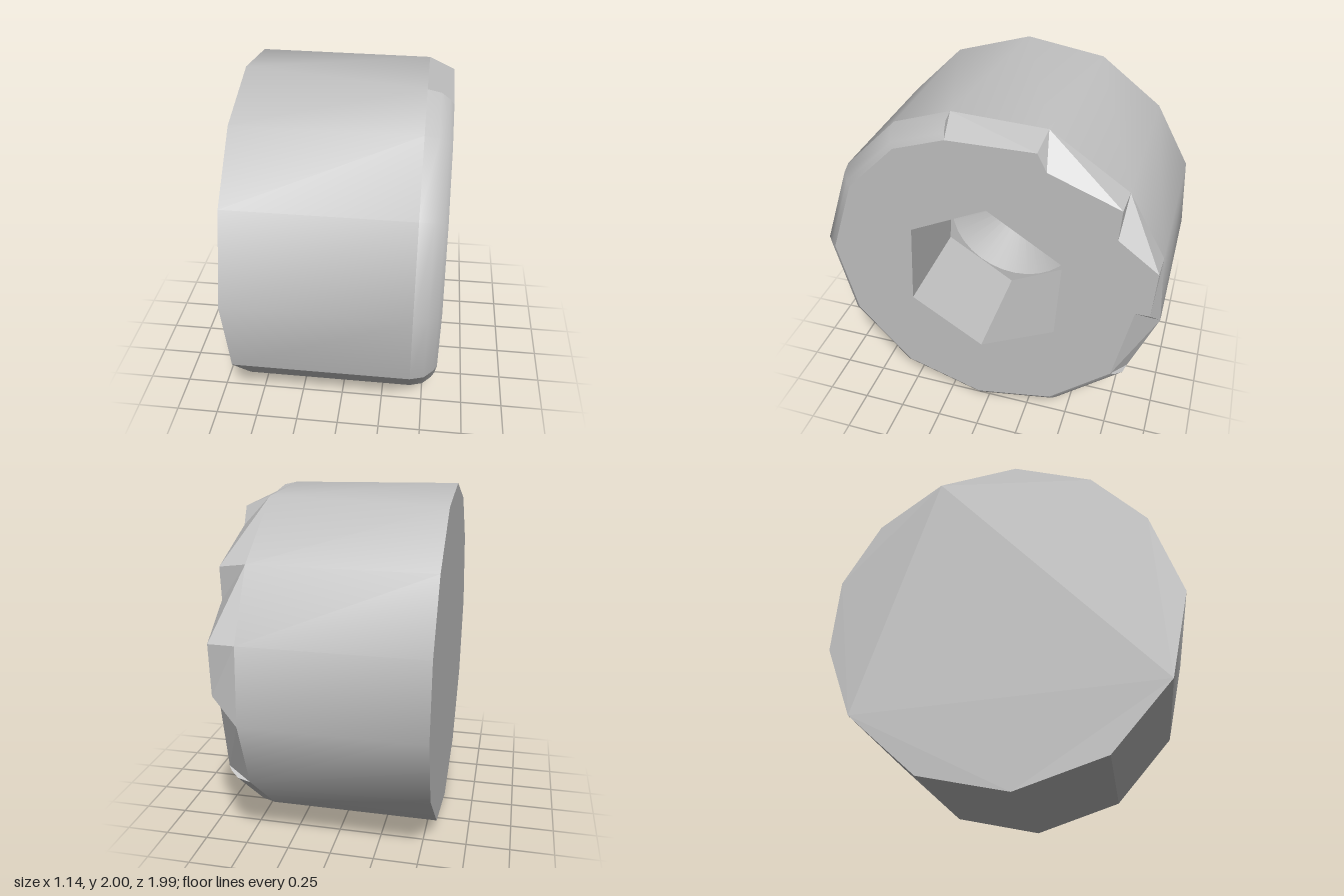
import * as THREE from 'three';

const steel = new THREE.MeshStandardMaterial({ color: 0xc0c0c0, side: THREE.DoubleSide });
steel.name = 'steel grey';

const BACK = -0.57, SHOULDER = 0.425, FRONT = 0.57, FLOOR = -0.05;

// Outlines are [z, y] pairs, starting at the top and running towards +z.
const backRing = [
  [0.07, 2.0], [0.52, 1.86], [0.83, 1.55], [1.0, 1.06], [0.89, 0.56], [0.55, 0.17], [0.05, 0.005],
  [-0.45, 0.11], [-0.84, 0.46], [-0.99, 0.86], [-0.96, 1.29], [-0.75, 1.66], [-0.39, 1.93],
];
const shoulderRing = backRing.map((p) => [...p]);
shoulderRing[0] = [0.2, 1.97];
shoulderRing[12] = [-0.32, 1.95];

const hexagon = [[-0.03, 1.5], [-0.45, 1.23], [-0.42, 0.74], [0.02, 0.51], [0.44, 0.78], [0.41, 1.28]];

// Worn corners of the rim, from the top towards -z: index, tooth point, notch point.
const worn = [
  [12, [-0.30, 1.89], [-0.35, 1.79]],
  [11, [-0.74, 1.64], [-0.73, 1.46]],
  [10, [-0.955, 1.29], [-0.955, 1.29]],
  [9, [-0.94, 1.0], [-0.86, 1.0]],
];

const at = (x, [z, y]) => new THREE.Vector3(x, y, z);
const inset = (ring, s) => ring.map(([z, y]) => [z * s, 1 + (y - 1) * s]);

function add(group, name, geometry) {
  const mesh = new THREE.Mesh(geometry, steel);
  mesh.name = name;
  group.add(mesh);
  return mesh;
}

// Smooth surface through rows of points
function loft(rows) {
  const n = rows[0].length, index = [];
  for (let j = 0; j < rows.length - 1; j++) {
    for (let i = 0; i < n - 1; i++) {
      const a = j * n + i, c = a + n;
      index.push(a, a + 1, c, a + 1, c + 1, c);
    }
  }
  const g = new THREE.BufferGeometry().setFromPoints(rows.flat());
  g.setIndex(index);
  g.computeVertexNormals();
  return g;
}

// Flat triangles from a plain list of corners
function facets(points) {
  const g = new THREE.BufferGeometry().setFromPoints(points);
  g.computeVertexNormals();
  return g;
}

// Flat plate facing +x, or -x when flipped
function plate(outline, x, hole, flip = false) {
  const s = flip ? 1 : -1;
  const shape = new THREE.Shape(outline.map(([z, y]) => new THREE.Vector2(s * z, y)));
  if (hole) shape.holes.push(hole);
  const g = new THREE.ShapeGeometry(shape, 32);
  g.rotateY(flip ? -Math.PI / 2 : Math.PI / 2);
  g.translate(x, 0, 0);
  return g;
}

export function createModel() {
  const group = new THREE.Group();
  group.name = 'socketScrewHead';

  // Side wall: one long smooth run and three flat facets underneath
  const runs = [[7, 8, 9, 10, 11, 12, 0, 1, 2, 3, 4], [4, 5], [5, 6], [6, 7]];
  for (const run of runs) {
    add(group, 'sideWall', loft([
      run.map((i) => at(BACK, backRing[i])),
      run.map((i) => at(SHOULDER, shoulderRing[i])),
    ]));
  }
  add(group, 'backFace', plate(backRing, BACK, null, true));

  // Rounded rim along the intact part of the edge
  const rim = [[SHOULDER, 1], [0.5, 0.982], [0.55, 0.94], [FRONT, 0.91]]
    .map(([x, s]) => inset(shoulderRing, s).map((p) => at(x, p)));
  for (const run of [[0, 1, 2, 3, 4], [4, 5], [5, 6], [6, 7], [7, 8]]) {
    add(group, 'roundedRim', loft(rim.map((row) => run.map((i) => row[i]))));
  }

  // Worn, notched part of the edge
  const tris = [];
  const inner = inset(shoulderRing, 0.91);
  let base = rim[0][0], notch = rim[3][0];
  const span = (tooth, next) => tris.push(base, notch, tooth, base, tooth, next);
  for (const [i, t, n] of worn) {
    const next = rim[0][i], tooth = at(FRONT, t);
    span(tooth, next);
    base = next;
    notch = at(FRONT, n);
    if (t[0] !== n[0]) tris.push(base, tooth, notch);
  }
  span(rim[3][8], rim[0][8]);
  // close the two ends of the rounded rim
  for (const k of [1, 2]) {
    tris.push(rim[0][0], rim[k][0], rim[k + 1][0]);
    tris.push(rim[0][8], rim[k + 1][8], rim[k][8]);
  }
  add(group, 'wornEdge', facets(tris));

  // Front face with the hexagonal opening
  const wornOutline = [...worn].reverse().flatMap(([, t, n]) => (t[0] === n[0] ? [t] : [n, t]));
  const hexHole = new THREE.Path(hexagon.map(([z, y]) => new THREE.Vector2(-z, y)));
  add(group, 'frontFace', plate([...inner.slice(0, 9), ...wornOutline], FRONT, hexHole));

  // Socket walls, floor and drilled cone
  hexagon.forEach((p, i) => {
    const side = [p, hexagon[(i + 1) % 6]];
    add(group, 'socketWall', loft([side.map((q) => at(FLOOR, q)), side.map((q) => at(FRONT, q))]));
  });
  const radius = 0.418, depth = 0.24;
  const round = new THREE.Path().absarc(0, 1, radius, 0, Math.PI * 2);
  add(group, 'socketFloor', plate(hexagon, FLOOR, round));
  const cone = new THREE.ConeGeometry(radius, depth, 32, 1, true);
  cone.rotateZ(Math.PI / 2);
  add(group, 'socketCone', cone).position.set(FLOOR - depth / 2, 1, 0);

  return group;
}
